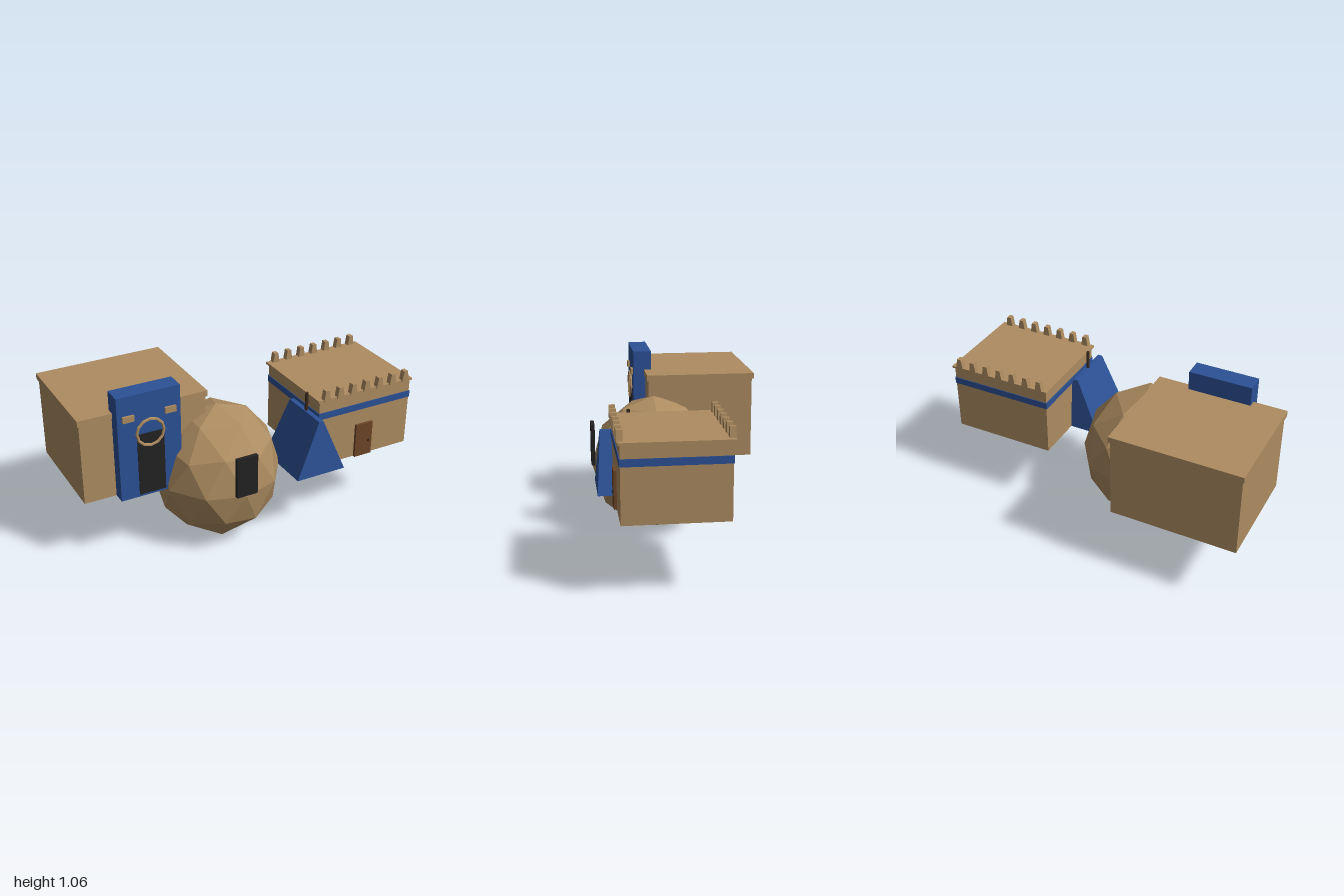
import * as THREE from 'three';

const mat = (name, color) => {
  const m = new THREE.MeshStandardMaterial({ color });
  m.name = name;
  return m;
};

export function createModel() {
  const sand = mat('sand', 0xad8c61);
  const blue = mat('blue', 0x2c5196);
  const black = mat('black', 0x222222);
  const wood = mat('wood', 0x6c4526);
  const darkWood = mat('dark wood', 0x3d2b1e);

  const model = new THREE.Group();
  const group = (name) => {
    const g = new THREE.Group();
    g.name = name;
    model.add(g);
    return g;
  };
  const add = (parent, name, geo, material) => {
    const m = new THREE.Mesh(geo, material);
    m.name = name;
    parent.add(m);
    return m;
  };
  // Box from min/max limits; the top may shrink in x and z
  const box = (parent, name, material, [x0, x1], [y0, y1], [z0, z1], tx = 1, tz = 1) => {
    const g = new THREE.BoxGeometry(x1 - x0, y1 - y0, z1 - z0);
    const p = g.attributes.position;
    for (let i = 0; i < p.count; i++) {
      if (p.getY(i) > 0) p.setXYZ(i, p.getX(i) * tx, p.getY(i), p.getZ(i) * tz);
    }
    g.computeVertexNormals();
    g.translate((x0 + x1) / 2, (y0 + y1) / 2, (z0 + z1) / 2);
    return add(parent, name, g, material);
  };

  // Large hall with blue gateway
  const hall = group('hall');
  box(hall, 'hallWalls', sand, [-0.99, -0.235], [0.42, 0.91], [-0.497, 0.146]);
  box(hall, 'hallRoof', sand, [-1, -0.225], [0.91, 0.945], [-0.508, 0.155]);
  box(hall, 'gateway', blue, [-0.8, -0.425], [0.42, 1.06], [0.11, 0.221]);
  box(hall, 'gateDoor', black, [-0.69, -0.53], [0.435, 0.815], [0.218, 0.227]);
  for (const x of [-0.738, -0.488]) {
    box(hall, 'gatePlaque', sand, [x - 0.034, x + 0.034], [0.91, 0.946], [0.215, 0.234]);
  }
  const ring = new THREE.TorusGeometry(0.081, 0.009, 6, 12).toNonIndexed();
  ring.computeVertexNormals();
  add(hall, 'gateRing', ring, sand).position.set(-0.612, 0.82, 0.229);

  // Faceted dome: a subdivided icosahedron standing on one corner
  const dome = group('dome');
  const ball = new THREE.IcosahedronGeometry(1, 1);
  ball.rotateZ(-Math.atan(2 / (1 + Math.sqrt(5))));
  ball.scale(0.378, 0.415, 0.378);
  ball.computeVertexNormals();
  add(dome, 'domeShell', ball, sand).position.set(-0.16, 0.418, 0.126);
  box(dome, 'domeDoor', black, [-0.226, -0.095], [0.427, 0.675], [0.486, 0.508]);

  // Tent with centre pole
  const tent = group('tent');
  box(tent, 'tentCloth', blue, [0.173, 0.491], [0.42, 0.757], [0.13, 0.503], 0.09, 0.865);
  const pole = add(tent, 'tentPole', new THREE.CylinderGeometry(0.01, 0.01, 0.45, 8), darkWood);
  pole.position.set(0.332, 0.645, 0.316);

  // Flat-roofed house
  const house = group('house');
  box(house, 'houseWalls', sand, [0.358, 0.99], [0.42, 0.842], [-0.161, 0.414]);
  box(house, 'houseBand', blue, [0.354, 0.994], [0.729, 0.77], [-0.165, 0.418]);
  box(house, 'houseRoof', sand, [0.346, 1], [0.842, 0.855], [-0.175, 0.423]);
  box(house, 'houseDoor', wood, [0.614, 0.73], [0.42, 0.633], [0.404, 0.43]);
  const knob = add(house, 'doorKnob', new THREE.SphereGeometry(0.007, 8, 6), black);
  knob.position.set(0.705, 0.515, 0.432);

  // Tapered battlements along the front and back edges
  for (let i = 0; i < 7; i++) {
    const x = 0.4 + i * 0.091;
    for (const z of [0.413, -0.16]) {
      box(house, 'battlement', sand, [x - 0.023, x + 0.023], [0.846, 0.913], [z - 0.017, z + 0.017], 0.55);
    }
  }
  return model;
}
